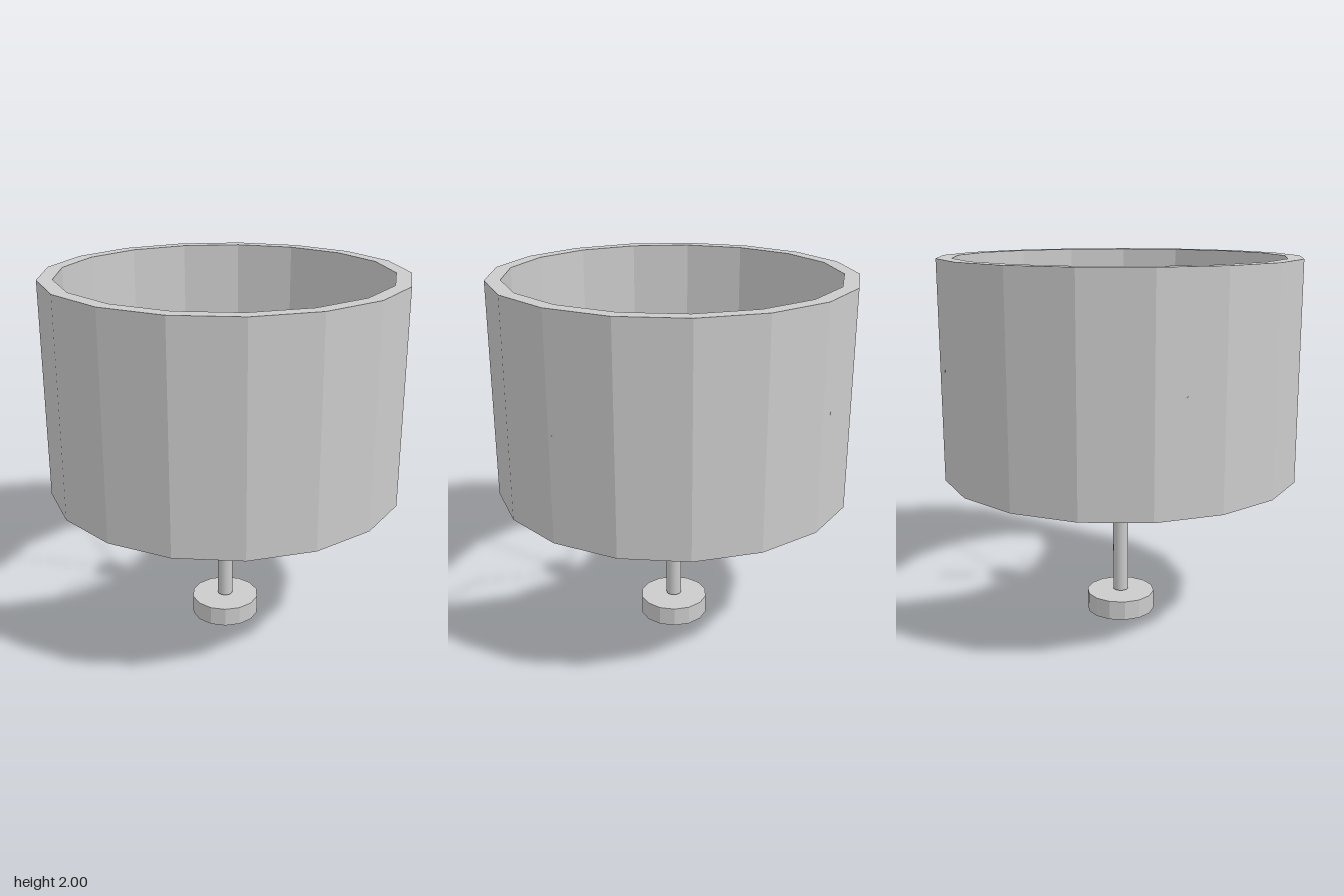
import * as THREE from 'three';

const mat = new THREE.MeshStandardMaterial({ color: 0xcccccc, flatShading: true });
const smooth = new THREE.MeshStandardMaterial({ color: 0xcccccc });
const V = (x, y, z) => new THREE.Vector3(x, y, z);
const CX = -0.012; // the stand sits slightly off the shade's centre

export function createModel() {
  const group = new THREE.Group();
  const add = (name, geometry, material = mat) => {
    const mesh = new THREE.Mesh(geometry, material);
    mesh.name = name;
    group.add(mesh);
    return mesh;
  };

  // upright cylinder between two heights
  const drum = (name, radius, y0, y1, sides, material) => {
    const mesh = add(name, new THREE.CylinderGeometry(radius, radius, y1 - y0, sides), material);
    mesh.position.set(CX, (y0 + y1) / 2, 0);
  };

  // base, pole and the small plate on top of the pole
  drum('base', 0.191, 0, 0.107, 14);
  drum('pole', 0.042, 0.115, 1.05, 20, smooth);
  drum('topPlate', 0.092, 1.045, 1.07, 24, smooth);

  // thick 17-sided shade, open at top and bottom, one corner on +x
  const outer = 0.968, inner = 0.887, bottom = 0.83, top = 2;
  const profile = [[outer, bottom], [outer, top], [inner, top], [inner, bottom], [outer, bottom]]
    .map(([r, y]) => new THREE.Vector2(r, y));
  const shade = add('shade', new THREE.LatheGeometry(profile, 17, Math.PI / 2));
  shade.position.x = -0.008;

  // bent wires: up and out from the plate, then level into the shade
  const wires = [
    { name: 'leftWire', at: (r, y) => V(r, y, -0.015), start: 0.06, bend: 0.41, end: 0.957, y: 1.39 },
    { name: 'rightWire', at: (r, y) => V(-r, y, -0.015), start: 0.09, bend: 0.47, end: 0.961, y: 1.41 },
    { name: 'frontWire', at: (r, y) => V(-0.01, y, r), start: 0.05, bend: 0.43, end: 0.945, y: 1.44 },
    { name: 'backWire', at: (r, y) => V(-0.01, y, -r), start: 0.09, bend: 0.47, end: 0.957, y: 1.435 },
  ];
  for (const w of wires) {
    const path = new THREE.CurvePath();
    const [a, b, c] = [w.at(w.start, 1.06), w.at(w.bend, 1.42), w.at(w.end, w.y)];
    path.add(new THREE.LineCurve3(a, b));
    path.add(new THREE.LineCurve3(b, c));
    add(w.name, new THREE.TubeGeometry(path, 24, 0.007, 8), smooth);
  }
  return group;
}
